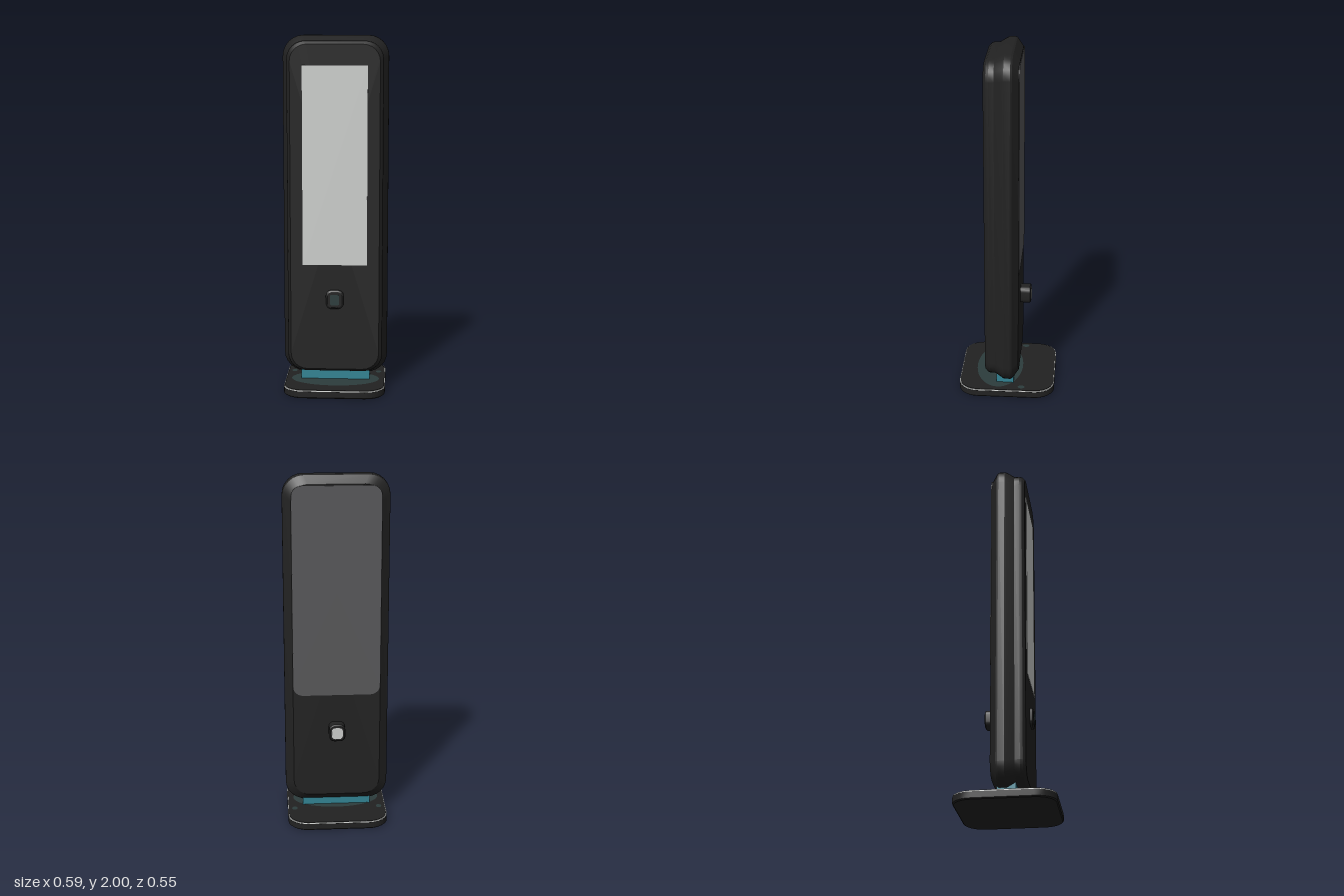
import * as THREE from 'three';
import { toCreasedNormals } from 'three/addons/utils/BufferGeometryUtils.js';

const paint = (name, color) => {
  const m = new THREE.MeshStandardMaterial({ color });
  m.name = name;
  return m;
};

// Outline of a rounded rectangle, counter-clockwise
function roundedOutline(hw, hh, r, steps = 6) {
  const pts = [];
  [[1, 1], [-1, 1], [-1, -1], [1, -1]].forEach(([sx, sy], q) => {
    for (let i = 0; i <= steps; i++) {
      const a = (q + i / steps) * Math.PI / 2;
      pts.push([sx * (hw - r) + r * Math.cos(a), sy * (hh - r) + r * Math.sin(a)]);
    }
  });
  return pts;
}

// Solid lofted through rounded rectangles; each section is [z, inset]
function loft(hw, hh, r, sections) {
  const pos = [], idx = [];
  const n = roundedOutline(hw, hh, r).length;
  for (const [z, d] of sections) {
    for (const [x, y] of roundedOutline(hw - d, hh - d, Math.max(r - d * 0.5, 0.005))) pos.push(x, y, z);
  }
  const last = sections.length - 1, c = n * sections.length;
  pos.push(0, 0, sections[0][0], 0, 0, sections[last][0]);
  for (let i = 0; i < n; i++) {
    const j = (i + 1) % n;
    for (let k = 0; k < last; k++) {
      const a = k * n + i, b = k * n + j;
      idx.push(a, b, b + n, a, b + n, a + n);
    }
    idx.push(c, j, i, c + 1, last * n + i, last * n + j);
  }
  const g = new THREE.BufferGeometry();
  g.setAttribute('position', new THREE.Float32BufferAttribute(pos, 3));
  g.setIndex(idx);
  return toCreasedNormals(g, 0.35);
}

export function createModel() {
  const model = new THREE.Group();
  const black = paint('black casing', 0x222222);
  const screenGrey = paint('pale screen', 0xcdcfcd);
  const panelGrey = paint('grey panel', 0x58585a);
  const teal = paint('teal', 0x338494);
  const darkTeal = paint('dark teal', 0x2c3c3c);
  const white = paint('white trim', 0xe4e6e4);

  const add = (name, geo, mat, x, y, z) => {
    const mesh = new THREE.Mesh(geo, mat);
    mesh.name = name;
    mesh.position.set(x, y, z);
    model.add(mesh);
    return mesh;
  };

  // Casing: wide rear rim, stepped front bezel
  add('casing', loft(0.294, 0.96, 0.115, [
    [-0.07, 0.047], [-0.035, 0.004], [-0.025, 0], [0.01, 0], [0.02, 0.004],
    [0.062, 0.027], [0.09, 0.027], [0.105, 0.032], [0.12, 0.046],
  ]), black, 0, 1.04, 0);

  // Screen and rear panel
  add('screen', new THREE.BoxGeometry(0.36, 1.11, 0.006), screenGrey, 0, 1.285, 0.12);
  add('rearPanel', loft(0.246, 0.6, 0.055, [[-0.003, 0], [0.003, 0]]), panelGrey, 0, 1.345, -0.07);

  // Front button with its small inset
  add('button', loft(0.05, 0.053, 0.03, [[0.11, 0], [0.132, 0], [0.139, 0.009]]), black, 0, 0.533, 0);
  add('buttonInset', loft(0.026, 0.03, 0.01, [[-0.002, 0], [0.002, 0]]), darkTeal, 0, 0.533, 0.139);

  // Rear stub with a pale tip
  add('rearStub', loft(0.046, 0.05, 0.03, [[-0.13, 0.006], [-0.124, 0], [-0.06, 0]]), black, 0, 0.533, 0);
  add('rearTip', loft(0.032, 0.034, 0.022, [[-0.002, 0], [0.002, 0]]), screenGrey, 0, 0.533, -0.13);

  // Neck
  add('neck', new THREE.BoxGeometry(0.39, 0.09, 0.1), teal, 0, 0.075, 0.01);

  // Base plate, thin trim and top skin, lofted upright then laid flat
  const slab = (name, hw, hd, y0, y1, mat, bevel) => {
    const m = add(name, loft(hw, hd, 0.11, [[y0, bevel], [y0 + bevel, 0], [y1, 0]]), mat, 0, 0, 0);
    m.rotation.x = -Math.PI / 2;
  };
  slab('base', 0.285, 0.275, 0, 0.04, black, 0.006);
  slab('baseTrim', 0.284, 0.274, 0.039, 0.045, white, 0.0005);
  slab('baseTop', 0.28, 0.27, 0.044, 0.048, black, 0.0005);

  // Tinted patches on the base
  const patch = (name, rx, rz, x, z) => {
    const m = add(name, new THREE.CircleGeometry(1, 40), darkTeal, x, 0.0495, z);
    m.rotation.x = -Math.PI / 2;
    m.scale.set(rx, rz, 1);
  };
  patch('basePatch', 0.25, 0.135, 0, 0.05);
  for (const s of [-1, 1]) patch('baseSpot', 0.016, 0.02, s * 0.245, -0.088);

  return model;
}
